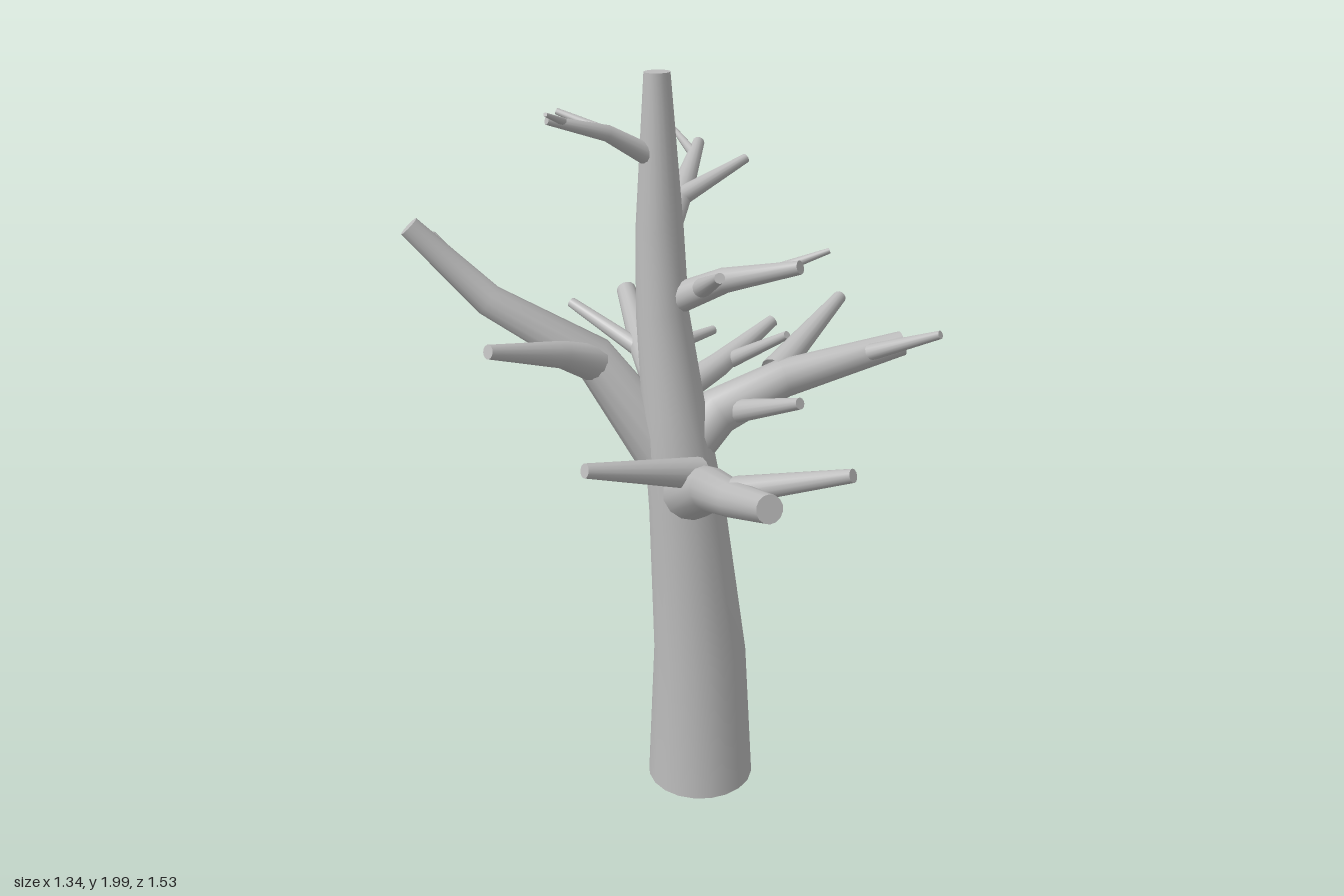
import * as THREE from 'three';

const V = (p) => new THREE.Vector3(p[0], p[1], p[2]);

// Tapered limb through points [x, y, z, radius]; open at the root, flat cap at the tip
function limbGeometry(points, sides) {
  const centres = points.map(V);
  const last = points.length - 1;
  const pos = [], index = [];
  let u = null, v = null, t = null;
  points.forEach((p, i) => {
    t = new THREE.Vector3();
    if (i > 0) t.add(centres[i].clone().sub(centres[i - 1]).normalize());
    if (i < last) t.add(centres[i + 1].clone().sub(centres[i]).normalize());
    t.normalize();
    if (!u) u = Math.abs(t.y) > 0.9 ? new THREE.Vector3(1, 0, 0) : new THREE.Vector3(0, 1, 0);
    u = u.clone().addScaledVector(t, -u.dot(t)).normalize();
    v = t.clone().cross(u);
    for (let j = 0; j < sides; j++) {
      const a = (j / sides) * Math.PI * 2;
      const q = centres[i].clone()
        .addScaledVector(u, Math.cos(a) * p[3])
        .addScaledVector(v, Math.sin(a) * p[3]);
      pos.push(q.x, q.y, q.z);
    }
  });
  for (let i = 0; i < last; i++) {
    for (let j = 0; j < sides; j++) {
      const k = (j + 1) % sides;
      const a = i * sides + j, b = i * sides + k;
      index.push(a, b, a + sides, b, b + sides, a + sides);
    }
  }
  // cap uses its own vertices so its edge stays sharp
  const start = pos.length / 3;
  pos.push(...pos.slice(last * sides * 3, (last + 1) * sides * 3));
  pos.push(centres[last].x, centres[last].y, centres[last].z);
  for (let j = 0; j < sides; j++) index.push(start + sides, start + j, start + (j + 1) % sides);
  const g = new THREE.BufferGeometry();
  g.setAttribute('position', new THREE.Float32BufferAttribute(pos, 3));
  g.setIndex(index);
  g.computeVertexNormals();
  return g;
}

// Each limb: its main path followed by the twigs growing from it
const limbs = {
  backBranch: [
    [[0.04, 0.9, 0.07, 0.085], [0.035, 1.07, -0.24, 0.058], [0.02, 1.11, -0.5, 0.042], [0.01, 1.215, -0.755, 0.03]],
    [[0.02, 1.1, -0.48, 0.028], [-0.17, 1.2, -0.7, 0.016]],
    [[0.03, 1.09, -0.49, 0.026], [0.265, 1.105, -0.635, 0.014]],
    [[0.04, 1.06, -0.2, 0.045], [0.2, 1.12, -0.28, 0.036], [0.385, 1.21, -0.38, 0.018]],
    [[0.24, 1.13, -0.29, 0.024], [0.36, 1.25, -0.13, 0.012]],
  ],
  frontBranch: [
    [[0.03, 0.92, 0.13, 0.08], [0.025, 1.06, 0.42, 0.055], [0.05, 1.095, 0.56, 0.044], [0.09, 1.145, 0.725, 0.034]],
    [[0.06, 1.11, 0.54, 0.034], [0.27, 1.225, 0.755, 0.016]],
    [[0.02, 1.05, 0.3, 0.042], [-0.285, 1.14, 0.43, 0.018]],
  ],
  rightBranch: [
    [[0.0, 0.98, 0.07, 0.085], [-0.2, 1.27, 0.0, 0.058], [-0.46, 1.42, -0.065, 0.042], [-0.65, 1.62, -0.08, 0.028]],
    [[-0.48, 1.43, -0.07, 0.034], [-0.59, 1.535, -0.3, 0.014]],
    [[-0.2, 1.26, 0.02, 0.05], [-0.29, 1.31, 0.08, 0.036], [-0.485, 1.375, 0.21, 0.018]],
  ],
  leftBranch: [
    [[0.0, 1.01, 0.09, 0.08], [0.12, 1.12, 0.07, 0.064], [0.3, 1.195, 0.055, 0.052], [0.625, 1.275, 0.063, 0.033]],
    [[0.28, 1.21, 0.04, 0.04], [0.53, 1.33, -0.2, 0.018]],
    [[0.52, 1.255, 0.07, 0.024], [0.665, 1.35, 0.225, 0.011]],
    [[0.15, 1.12, 0.08, 0.034], [0.28, 1.215, 0.29, 0.015]],
  ],
  middleFrontBranch: [
    [[-0.01, 1.42, 0.04, 0.042], [0.11, 1.51, 0.17, 0.032], [0.26, 1.575, 0.315, 0.017]],
    [[0.21, 1.555, 0.26, 0.015], [0.34, 1.605, 0.287, 0.007]],
    [[0.06, 1.48, 0.13, 0.026], [0.055, 1.57, 0.35, 0.013]],
  ],
  upperBackBranch: [
    [[-0.02, 1.59, 0.03, 0.04], [0.06, 1.675, -0.12, 0.03], [0.145, 1.755, -0.32, 0.016]],
    [[0.12, 1.735, -0.26, 0.014], [0.09, 1.78, -0.39, 0.007]],
    [[0.04, 1.66, -0.08, 0.026], [0.235, 1.745, -0.14, 0.012]],
  ],
  topBranch: [
    [[-0.04, 1.79, 0.04, 0.028], [-0.165, 1.865, 0.08, 0.02], [-0.315, 1.91, 0.127, 0.011]],
    [[-0.27, 1.9, 0.11, 0.01], [-0.325, 1.935, 0.195, 0.005]],
    [[-0.13, 1.85, 0.07, 0.016], [-0.275, 1.905, -0.015, 0.008]],
  ],
};

export function createModel() {
  const tree = new THREE.Group();
  tree.name = 'bareTree';
  const bark = new THREE.MeshStandardMaterial({ color: 0xbbbbbb, side: THREE.DoubleSide });
  bark.name = 'greyBark';

  const add = (parent, name, points, sides) => {
    const mesh = new THREE.Mesh(limbGeometry(points, sides), bark);
    mesh.name = name;
    parent.add(mesh);
  };

  // Trunk, leaning slightly and tapering to a cut top
  add(tree, 'trunk', [
    [0.075, 0.01, 0.1, 0.15], [0.07, 0.42, 0.1, 0.129], [0.03, 0.87, 0.105, 0.103],
    [0.0, 1.13, 0.08, 0.085], [-0.025, 1.4, 0.045, 0.069], [-0.03, 1.62, 0.037, 0.061],
    [-0.035, 2, 0.035, 0.033],
  ], 20);

  // Branches with their twigs
  for (const [name, paths] of Object.entries(limbs)) {
    const group = new THREE.Group();
    group.name = name;
    paths.forEach((path, i) => add(group, i ? 'twig' + i : 'bough', path, 14));
    tree.add(group);
  }
  return tree;
}
